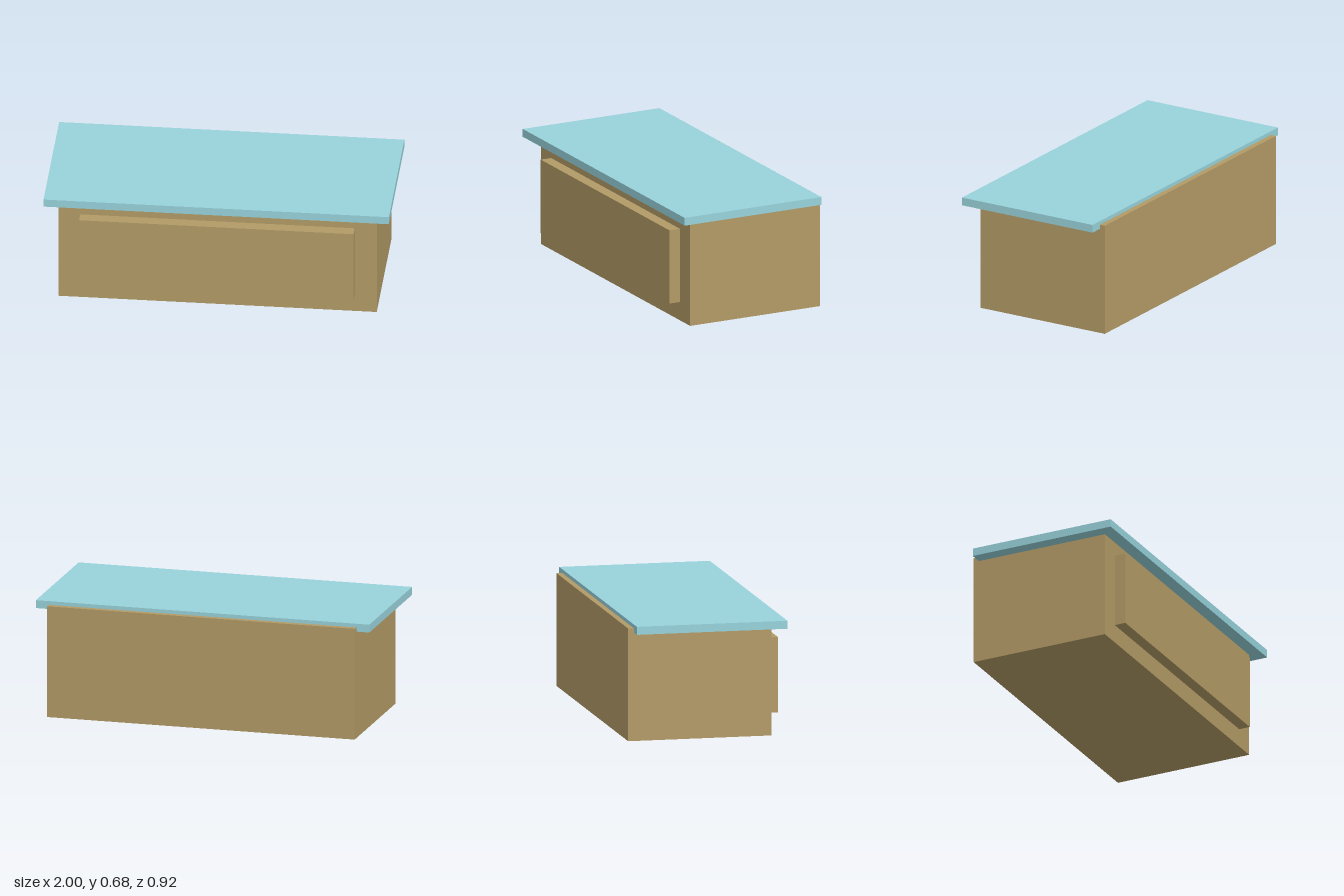
import * as THREE from 'three';

const wood = new THREE.MeshStandardMaterial({ color: 0xb39b66 });
const aqua = new THREE.MeshStandardMaterial({ color: 0x98d3db });

// Box spanning ±halfWidth in x and the given y and z ranges
function slab(name, material, halfWidth, [y0, y1], [z0, z1]) {
  const mesh = new THREE.Mesh(new THREE.BoxGeometry(halfWidth * 2, y1 - y0, z1 - z0), material);
  mesh.position.set(0, (y0 + y1) / 2, (z0 + z1) / 2);
  mesh.name = name;
  return mesh;
}

export function createModel() {
  const group = new THREE.Group();
  group.name = 'counter';
  group.add(
    // main cabinet, rising slightly into the worktop and showing behind it
    slab('cabinetBody', wood, 0.922, [0, 0.66], [-0.462, 0.385]),
    // raised panel on the front
    slab('frontPanel', wood, 0.795, [0.11, 0.551], [0.375, 0.453]),
    // overhanging worktop
    slab('worktop', aqua, 1, [0.635, 0.682], [-0.428, 0.462]),
  );
  return group;
}
